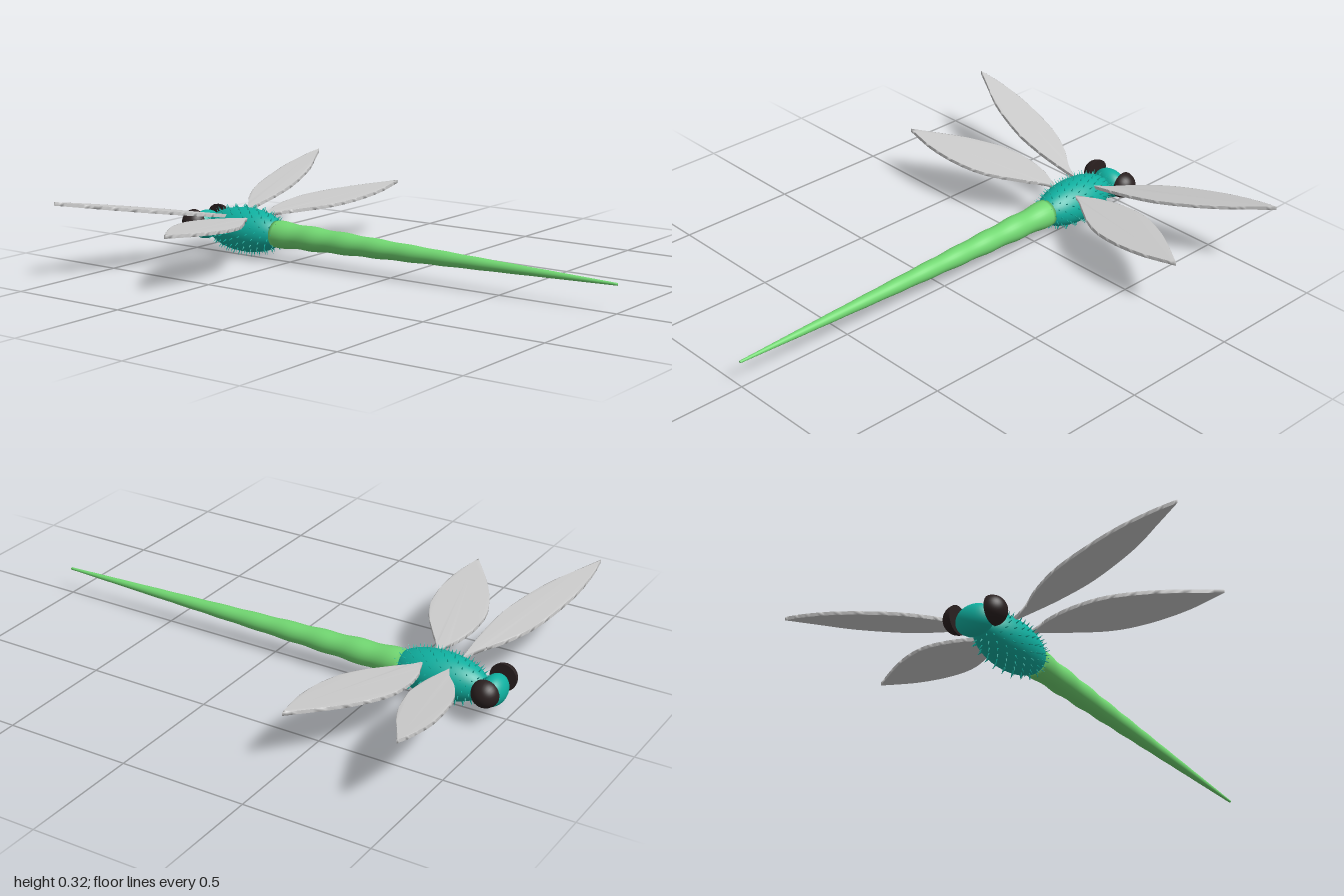
import * as THREE from 'three';
import { mergeGeometries, mergeVertices } from 'three/addons/utils/BufferGeometryUtils.js';

const V2 = (x, y) => new THREE.Vector2(x, y);
const mat = (color) => new THREE.MeshStandardMaterial({ color });

const WING_THICKNESS = 0.014;

// Thin leaf-shaped wing: outline in x/z, rising outward with a constant slope
function wingGeometry(lead, trail, rootY, slope) {
  const shape = new THREE.Shape();
  shape.moveTo(lead[0][0], -lead[0][1]);
  shape.splineThru(lead.slice(1).map(([x, z]) => V2(x, -z)));
  shape.splineThru(trail.slice(0, -1).reverse().map(([x, z]) => V2(x, -z)));
  shape.closePath();
  let geo = new THREE.ExtrudeGeometry(shape, { depth: WING_THICKNESS, bevelEnabled: false, curveSegments: 8 });
  geo.rotateX(-Math.PI / 2);
  const p = geo.attributes.position;
  for (let i = 0; i < p.count; i++) {
    p.setY(i, p.getY(i) - WING_THICKNESS / 2 + rootY + slope * p.getX(i));
  }
  // shared vertices give the soft, pillowed shading
  geo.deleteAttribute('normal');
  geo.deleteAttribute('uv');
  geo = mergeVertices(geo);
  geo.computeVertexNormals();
  return geo;
}

export function createModel() {
  const root = new THREE.Group();
  root.name = 'dragonfly';
  const teal = mat(0x10b0a0);
  const green = mat(0x72d872);
  const dark = mat(0x2a2020);
  const grey = mat(0xcccccc);
  grey.side = THREE.DoubleSide;

  const add = (name, geo, material, parent = root) => {
    const m = new THREE.Mesh(geo, material);
    m.name = name;
    parent.add(m);
    return m;
  };

  // Thorax
  const centre = new THREE.Vector3(0, 0.11, -0.725);
  const radii = new THREE.Vector3(0.091, 0.091, 0.195);
  const thorax = add('thorax', new THREE.SphereGeometry(1, 40, 28), teal);
  thorax.scale.copy(radii);
  thorax.position.copy(centre);

  // Bristles spread evenly over the thorax, pointing along its normals
  const bristles = [];
  const count = 220;
  const up = new THREE.Vector3(0, 1, 0);
  for (let i = 0; i < count; i++) {
    const c = 1 - (2 * (i + 0.5)) / count;
    const s = Math.sqrt(1 - c * c);
    const a = i * Math.PI * (3 - Math.sqrt(5));
    const dir = new THREE.Vector3(s * Math.cos(a), s * Math.sin(a), c);
    const normal = dir.clone().divide(radii).normalize();
    const cone = new THREE.ConeGeometry(0.0035, 0.022, 5);
    cone.translate(0, 0.008, 0);
    cone.applyQuaternion(new THREE.Quaternion().setFromUnitVectors(up, normal));
    const at = dir.multiply(radii).add(centre);
    cone.translate(at.x, at.y, at.z);
    bristles.push(cone);
  }
  add('thoraxBristles', mergeGeometries(bristles), teal);

  // Head
  const head = add('head', new THREE.SphereGeometry(1, 32, 24), teal);
  head.scale.set(0.076, 0.06, 0.048);
  head.position.set(0, 0.108, -0.945);

  // Abdomen: tapering tail with gently swollen segments
  const profile = [V2(0, 0)];
  const steps = 100;
  const segments = 10;
  for (let i = 0; i <= steps; i++) {
    const t = i / steps;
    const swell = 1 + 0.05 * (1 - t) * Math.sin(t * segments * Math.PI * 2);
    profile.push(V2((0.055 * (1 - t) + 0.005 * t) * swell, t * 1.57));
  }
  profile.push(V2(0, 1.57));
  const abdomen = add('abdomen', new THREE.LatheGeometry(profile, 28), green);
  abdomen.rotation.x = Math.PI / 2;
  abdomen.position.set(0, 0.11, -0.57);

  // Wing outlines on the left side: [x, z] from root to tip
  const foreWing = wingGeometry(
    [[0.05, -0.785], [0.12, -0.82], [0.217, -0.89], [0.35, -0.95], [0.56, -0.993], [0.72, -0.999], [0.825, -0.988]],
    [[0.05, -0.785], [0.13, -0.782], [0.25, -0.782], [0.4, -0.80], [0.587, -0.86], [0.72, -0.93], [0.825, -0.988]],
    0.158, 0.187);
  const hindWing = wingGeometry(
    [[0.05, -0.675], [0.1, -0.692], [0.164, -0.716], [0.27, -0.73], [0.4, -0.714], [0.56, -0.635], [0.745, -0.498]],
    [[0.05, -0.675], [0.1, -0.65], [0.164, -0.6], [0.296, -0.513], [0.43, -0.475], [0.587, -0.47], [0.745, -0.498]],
    0.161, 0.09);

  // Domed eye with a flat inner face
  const eye = mergeGeometries([
    new THREE.SphereGeometry(0.055, 28, 14, 0, Math.PI * 2, 0, Math.PI / 2),
    new THREE.CircleGeometry(0.055, 28).rotateX(Math.PI / 2),
  ]);
  eye.rotateZ(-Math.PI / 2);
  eye.translate(0.071, 0.127, -0.944);

  // Paired parts
  for (const [name, side] of [['left', 1], ['right', -1]]) {
    const half = new THREE.Group();
    half.name = name + 'Side';
    half.scale.x = side;
    root.add(half);
    add(name + 'Eye', eye, dark, half);
    add(name + 'ForeWing', foreWing, grey, half);
    add(name + 'HindWing', hindWing, grey, half);
  }
  return root;
}
